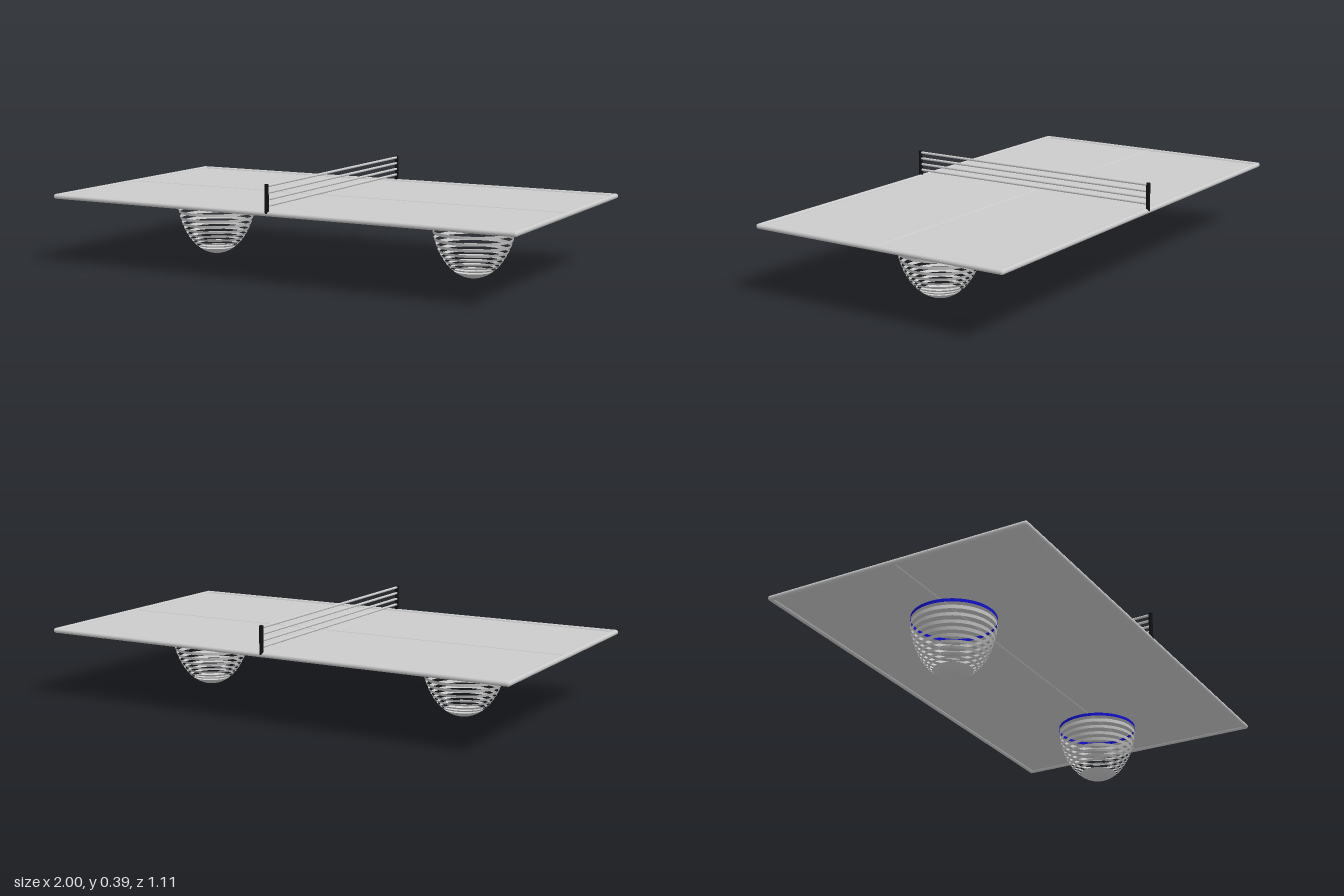
import * as THREE from 'three';

const grey = new THREE.MeshStandardMaterial({ color: 0xcccccc });
const greyThin = new THREE.MeshStandardMaterial({ color: 0xcccccc, side: THREE.DoubleSide });
const blue = new THREE.MeshStandardMaterial({ color: 0x1010cc, side: THREE.DoubleSide });
const black = new THREE.MeshStandardMaterial({ color: 0x111111 });

const HALF_X = 0.99, HALF_Z = 0.543, TOP_Y = 0.28, CUP_R = 0.165, CUP_H = 0.243;

function add(parent, name, geometry, material, x = 0, y = 0, z = 0) {
  const mesh = new THREE.Mesh(geometry, material);
  mesh.name = name;
  mesh.position.set(x, y, z);
  parent.add(mesh);
  return mesh;
}

// Round bar lying along the x or z axis
function bar(parent, name, axis, length, radius, x, y, z) {
  const g = new THREE.CylinderGeometry(radius, radius, length, 16);
  if (axis === 'x') g.rotateZ(Math.PI / 2);
  else g.rotateX(Math.PI / 2);
  return add(parent, name, g, grey, x, y, z);
}

// Slice of a half-ellipsoid bowl between two heights
function bowlSlice(y0, y1, steps) {
  const points = [];
  for (let i = 0; i <= steps; i++) {
    const t = i / steps;
    const y = y0 + (y1 - y0) * (y0 === 0 ? t * t : t);
    const k = 1 - y / CUP_H;
    points.push(new THREE.Vector2(CUP_R * Math.sqrt(Math.max(0, 1 - k * k)), y));
  }
  return new THREE.LatheGeometry(points, 48);
}

function makeCup() {
  const cup = new THREE.Group();
  cup.name = 'slattedBase';
  add(cup, 'baseCap', bowlSlice(0, 0.028, 8), greyThin);
  // Bands grow taller and further apart towards the rim
  const bands = [
    [0.036, 0.042], [0.049, 0.056], [0.065, 0.074], [0.083, 0.092], [0.102, 0.113],
    [0.125, 0.137], [0.149, 0.161], [0.176, 0.188], [0.203, 0.217],
  ];
  for (const [y0, y1] of bands) add(cup, 'baseBand', bowlSlice(y0, y1, 2), greyThin);
  add(cup, 'baseRim', bowlSlice(0.23, CUP_H, 2), blue);
  return cup;
}

export function createModel() {
  const model = new THREE.Group();
  model.name = 'netTable';

  // Table top with a round frame and centre line
  add(model, 'tableTop', new THREE.BoxGeometry(2 * HALF_X, 0.004, 2 * HALF_Z), grey, 0, TOP_Y, 0);
  for (const s of [-1, 1]) {
    bar(model, 'sideFrame', 'x', 2 * HALF_X, 0.01, 0, TOP_Y, s * HALF_Z);
    bar(model, 'endFrame', 'z', 2 * HALF_Z, 0.01, s * HALF_X, TOP_Y, 0);
    for (const t of [-1, 1]) {
      add(model, 'frameCorner', new THREE.SphereGeometry(0.01, 16, 10), grey, s * HALF_X, TOP_Y, t * HALF_Z);
    }
  }
  bar(model, 'centreLine', 'x', 2 * HALF_X, 0.006, 0, TOP_Y, 0);

  // Net: two posts and four rails
  for (const s of [-1, 1]) {
    add(model, 'netPost', new THREE.CylinderGeometry(0.008, 0.008, 0.11, 16), black, 0.003, 0.336, s * 0.546);
  }
  for (const y of [0.31, 0.334, 0.359, 0.384]) {
    bar(model, 'netRail', 'z', 2 * HALF_Z, 0.005, 0.003, y, 0);
  }

  // Two slatted bowl bases
  for (const x of [-0.575, 0.605]) {
    const cup = makeCup();
    cup.position.set(x, 0, 0);
    model.add(cup);
  }
  return model;
}
